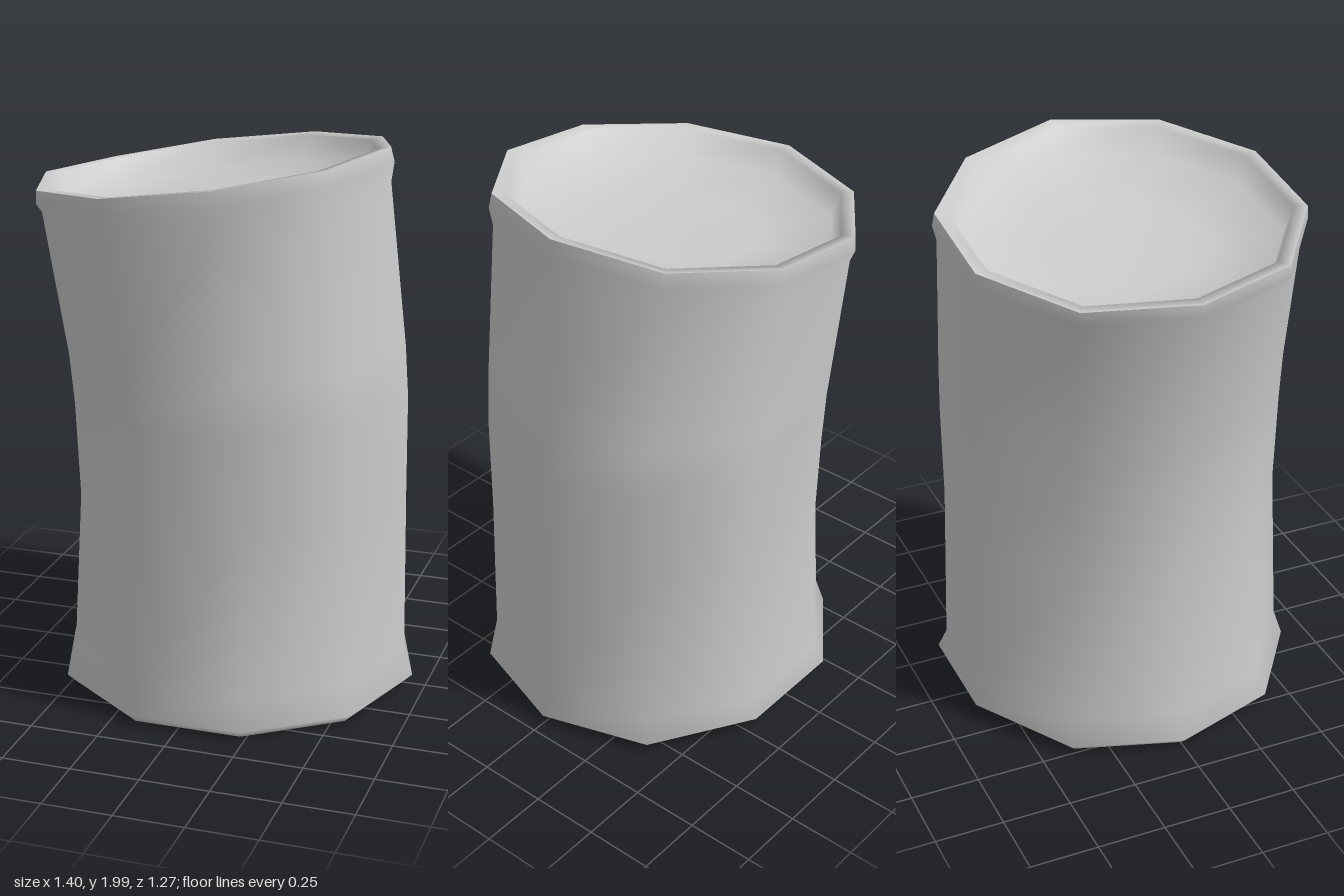
import * as THREE from 'three';

const SIDES = 10;

// Cross-sections: [centre x, radius, height at centre, tilt along x]
const body = [
  [0.033, 0.63, 0.005, 0],
  [0.033, 0.667, 0.04, 0],
  [0.033, 0.634, 0.14, 0],
  [0.046, 0.612, 0.75, 0.005],
  [0.037, 0.618, 1.1, 0.02],
  [0.022, 0.62, 1.28, 0.03],
  [-0.055, 0.63, 1.82, 0.095],
  [-0.06, 0.645, 1.867, 0.128],
  [-0.067, 0.638, 1.915, 0.133],
];
const dish = [
  [-0.067, 0.638, 1.915, 0.133],
  [-0.066, 0.59, 1.91, 0.133],
  [-0.064, 0.56, 1.82, 0.133],
  [-0.055, 0.3, 1.78, 0.133],
];
const base = [[0.033, 0.63, 0.005, 0]];

// Joins the ten-sided sections; capEnd closes the last one with a fan
function loft(rings, capEnd, flip = false) {
  const pos = [], index = [];
  const tri = (a, b, c) => (flip ? index.push(a, c, b) : index.push(a, b, c));
  for (const [cx, r, y, tilt] of rings) {
    for (let i = 0; i < SIDES; i++) {
      const a = (i / SIDES) * Math.PI * 2;
      const x = r * Math.cos(a), z = r * Math.sin(a);
      // the back edge is lifted at the foot and dips at the rim
      let dy = 0;
      if (y < 0.1 && z < -0.5) dy = 0.033;
      if (y > 1.8 && z < -0.1) dy = -0.025;
      pos.push(cx + x, Math.max(0, y + tilt * x + dy), z);
    }
  }
  for (let j = 0; j < rings.length - 1; j++) {
    for (let i = 0; i < SIDES; i++) {
      const n = (i + 1) % SIDES;
      const a = j * SIDES + i, b = j * SIDES + n;
      tri(a, a + SIDES, b);
      tri(b, a + SIDES, b + SIDES);
    }
  }
  if (capEnd) {
    const [cx, , y] = rings[rings.length - 1];
    const start = (rings.length - 1) * SIDES, centre = rings.length * SIDES;
    pos.push(cx, y, 0);
    for (let i = 0; i < SIDES; i++) tri(start + i, centre, start + ((i + 1) % SIDES));
  }
  const g = new THREE.BufferGeometry();
  g.setAttribute('position', new THREE.Float32BufferAttribute(pos, 3));
  g.setIndex(index);
  g.computeVertexNormals();
  return g;
}

export function createModel() {
  const group = new THREE.Group();
  group.name = 'bentCup';
  const material = new THREE.MeshStandardMaterial({ color: 0xcccccc });
  const add = (name, geometry) => {
    const mesh = new THREE.Mesh(geometry, material);
    mesh.name = name;
    group.add(mesh);
  };
  // Leaning wall with flared foot and lip
  add('outerWall', loft(body, false));
  // Hollowed top inside the rim
  add('innerDish', loft(dish, true));
  // Flat underside
  add('underside', loft(base, true, true));
  return group;
}
